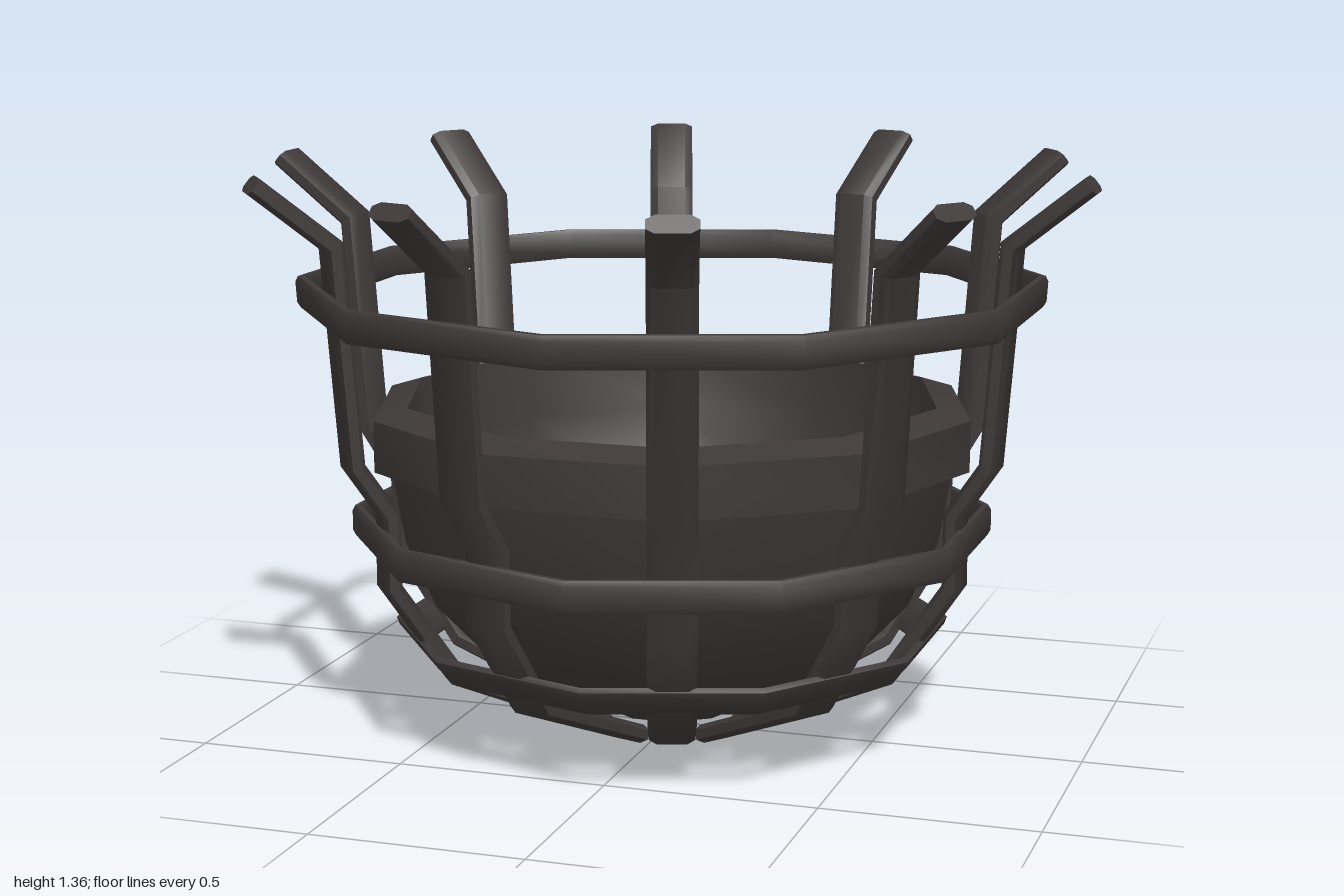
import * as THREE from 'three';
import { toCreasedNormals } from 'three/addons/utils/BufferGeometryUtils.js';

const SIDES = 10;
const STEP = (Math.PI * 2) / SIDES;

// Flat bar section with softened edges: w = half width, t = half thickness
function barSection(w, t) {
  return [[w, -t * 0.5], [w, t * 0.5], [w * 0.65, t], [-w * 0.65, t],
    [-w, t * 0.5], [-w, -t * 0.5], [-w * 0.65, -t], [w * 0.65, -t]];
}

// Joins a section along frames { p, u, v }, either as a closed loop or with end caps
function sweep(frames, section, closed) {
  const n = section.length, m = frames.length;
  const pos = [], index = [];
  for (const { p, u, v } of frames) {
    for (const [a, b] of section) {
      const q = p.clone().addScaledVector(u, a).addScaledVector(v, b);
      pos.push(q.x, q.y, q.z);
    }
  }
  for (let i = 0; i < (closed ? m : m - 1); i++) {
    const k = (i + 1) % m;
    for (let j = 0; j < n; j++) {
      const l = (j + 1) % n;
      index.push(i * n + j, i * n + l, k * n + l, i * n + j, k * n + l, k * n + j);
    }
  }
  if (!closed) {
    const e = (m - 1) * n;
    for (let j = 1; j < n - 1; j++) index.push(0, j + 1, j, e, e + j, e + j + 1);
  }
  const g = new THREE.BufferGeometry();
  g.setAttribute('position', new THREE.Float32BufferAttribute(pos, 3));
  g.setIndex(index);
  return toCreasedNormals(g, 0.85);
}

// Bent upright strap, following a (radius, height) path with mitred bends
function strapGeometry() {
  const path = [[0.17, 0.021], [0.54, 0.175], [0.69, 0.4], [0.69, 0.57], [0.77, 0.69], [0.808, 1.2], [0.985, 1.343]]
    .map(([x, y]) => new THREE.Vector3(x, y, 0));
  const u = new THREE.Vector3(0, 0, -1);
  const normal = (a, b) => {
    const d = b.clone().sub(a).normalize();
    return new THREE.Vector3(-d.y, d.x, 0);
  };
  const frames = path.map((p, i) => {
    const n0 = i > 0 ? normal(path[i - 1], p) : normal(p, path[1]);
    const n1 = i < path.length - 1 ? normal(p, path[i + 1]) : n0;
    const v = n0.clone().add(n1).normalize();
    v.divideScalar(v.dot(n0));
    return { p, u, v };
  });
  return sweep(frames, barSection(0.055, 0.022), false);
}

// Ten-sided hoop; lean tips its top outward
function hoopGeometry(radius, y, halfHeight, lean) {
  const frames = [];
  for (let i = 0; i < SIDES; i++) {
    const a = (i + 0.5) * STEP;
    const out = new THREE.Vector3(Math.cos(a), 0, -Math.sin(a));
    const up = new THREE.Vector3(0, 1, 0);
    frames.push({
      p: out.clone().multiplyScalar(radius).setY(y),
      u: up.clone().multiplyScalar(Math.cos(lean)).addScaledVector(out, Math.sin(lean)),
      v: out.clone().multiplyScalar(Math.cos(lean)).addScaledVector(up, -Math.sin(lean)),
    });
  }
  return sweep(frames, barSection(halfHeight, 0.014), true);
}

export function createModel() {
  const group = new THREE.Group();
  group.name = 'fireBasket';
  const iron = new THREE.MeshStandardMaterial({ color: 0x3e3838 });
  iron.name = 'darkIron';
  const add = (name, geometry) => {
    const mesh = new THREE.Mesh(geometry, iron);
    mesh.name = name;
    group.add(mesh);
    return mesh;
  };

  // Hollow bowl with a thick overhanging rim
  const profile = [
    [0, 0.045], [0.16, 0.05], [0.44, 0.19], [0.58, 0.34], [0.65, 0.5], [0.68, 0.67],
    [0.72, 0.67], [0.72, 0.79], [0.64, 0.815],
    [0.62, 0.66], [0.56, 0.44], [0.44, 0.28], [0.24, 0.16], [0, 0.12],
  ].map(([x, y]) => new THREE.Vector2(x, y));
  const bowl = new THREE.LatheGeometry(profile, SIDES);
  bowl.rotateY(STEP / 2);
  add('bowl', toCreasedNormals(bowl, 0.7));

  // Upright straps around the bowl
  const strap = strapGeometry();
  for (let i = 0; i < SIDES; i++) add(`strap${i + 1}`, strap).rotation.y = i * STEP;

  // Hoops binding the straps
  add('upperHoop', hoopGeometry(0.869, 1.057, 0.037, 0.06));
  add('middleHoop', hoopGeometry(0.749, 0.505, 0.037, 0));
  add('lowerHoop', hoopGeometry(0.626, 0.236, 0.046, 0.75));

  return group;
}
